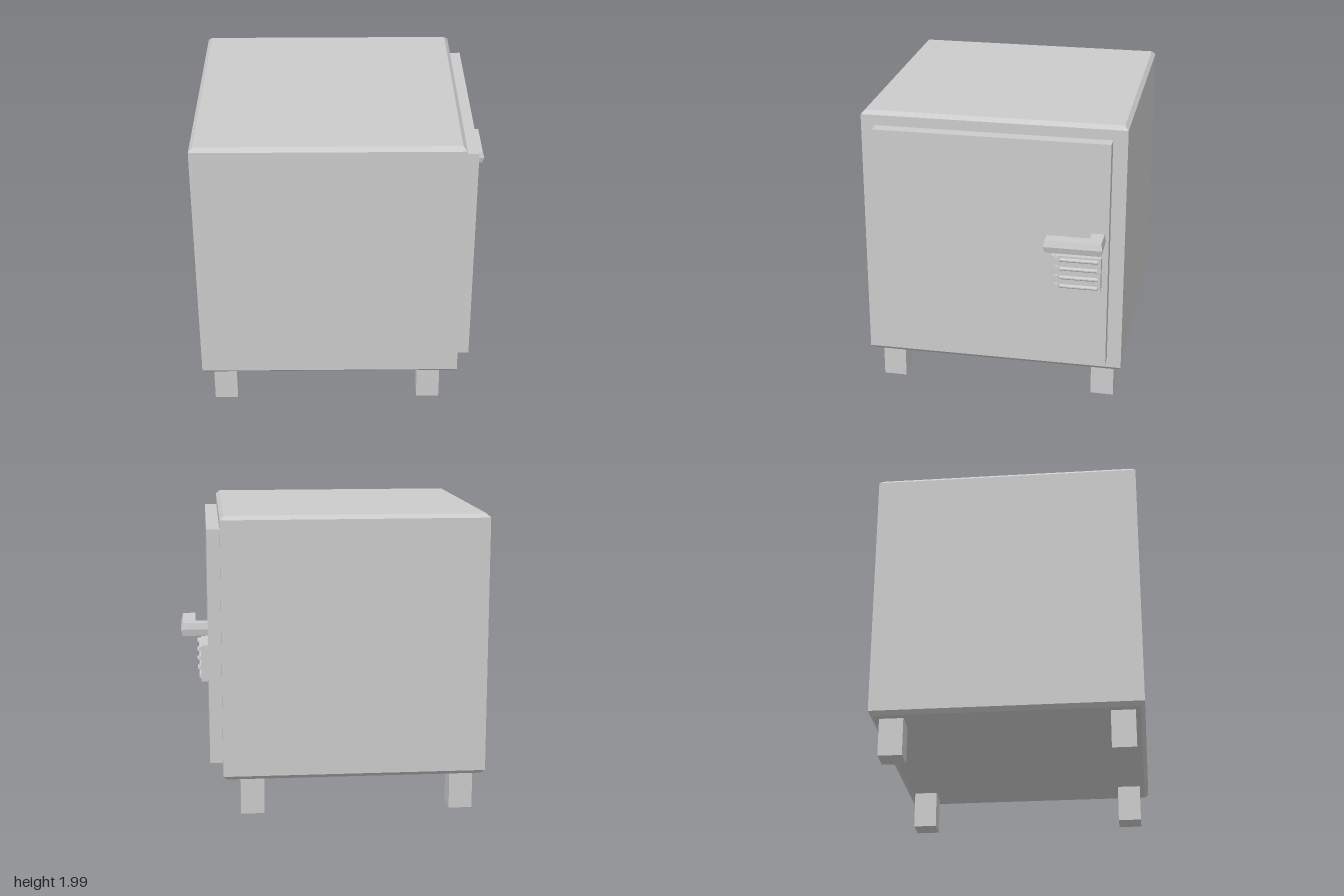
import * as THREE from 'three';

export function createModel() {
  const group = new THREE.Group();
  const mat = new THREE.MeshStandardMaterial({ color: 0xcccccc, flatShading: true });

  const add = (name, geometry, x = 0, y = 0, z = 0) => {
    const mesh = new THREE.Mesh(geometry, mat);
    mesh.name = name;
    mesh.position.set(x, y, z);
    group.add(mesh);
    return mesh;
  };
  // Box given by its extents on each axis
  const box = (name, [x0, x1], [y0, y1], [z0, z1]) =>
    add(name, new THREE.BoxGeometry(x1 - x0, y1 - y0, z1 - z0), (x0 + x1) / 2, (y0 + y1) / 2, (z0 + z1) / 2);

  // Cabinet: box with bevelled top and bottom rims, straight upright edges
  const w = 1.74, h = 1.74, bevel = 0.026;
  const body = new THREE.BoxGeometry(w, h, w, 1, 3, 1);
  const p = body.attributes.position;
  for (let i = 0; i < p.count; i++) {
    const y = p.getY(i);
    if (Math.abs(y) > h * 0.4) {
      p.setX(i, p.getX(i) - Math.sign(p.getX(i)) * bevel);
      p.setZ(i, p.getZ(i) - Math.sign(p.getZ(i)) * bevel);
    } else {
      p.setY(i, Math.sign(y) * (h / 2 - bevel));
    }
  }
  body.computeVertexNormals();
  add('cabinet', body, -0.13, 1.12, 0);

  // Door on the +x side
  box('door', [0.735, 0.825], [0.345, 1.895], [-0.775, 0.775]);

  // Four square legs
  for (const x of [-0.848, 0.548]) {
    for (const z of [-0.733, 0.733]) {
      box('leg', [x - 0.078, x + 0.078], [0, 0.255], [z - 0.078, z + 0.078]);
    }
  }

  // L-shaped handle; its outer faces swell to a ridge at mid height
  const outline = new THREE.Shape([
    [0.82, 0.748], [0.82, 0.665], [0.905, 0.665], [0.905, 0.385], [0.988, 0.385], [0.988, 0.748],
  ].map(([x, y]) => new THREE.Vector2(x, y)));
  const handle = new THREE.ExtrudeGeometry(outline, { depth: 0.085, steps: 2, bevelEnabled: false });
  const q = handle.attributes.position;
  for (let i = 0; i < q.count; i++) {
    if (Math.abs(q.getZ(i) - 0.0425) > 0.01) continue;
    if (q.getX(i) > 0.95) q.setX(i, q.getX(i) + 0.012);
    if (q.getY(i) > 0.7) q.setY(i, q.getY(i) + 0.008);
    if (q.getY(i) < 0.4) q.setY(i, q.getY(i) - 0.01);
  }
  handle.rotateX(-Math.PI / 2);
  handle.computeVertexNormals();
  add('handle', handle, 0, 1.2, 0);

  // Lock plate with four rows, each a round button and a raised rod
  box('lockPlate', [0.82, 0.872], [0.89, 1.13], [-0.735, -0.41]);
  for (const y of [0.918, 0.98, 1.042, 1.104]) {
    const button = new THREE.CylinderGeometry(0.021, 0.021, 0.03, 16).rotateZ(-Math.PI / 2);
    add('lockButton', button, 0.88, y, -0.445);
    const rod = new THREE.CylinderGeometry(0.013, 0.013, 0.25, 10).rotateX(Math.PI / 2);
    add('lockRod', rod, 0.872, y, -0.59);
  }

  return group;
}
